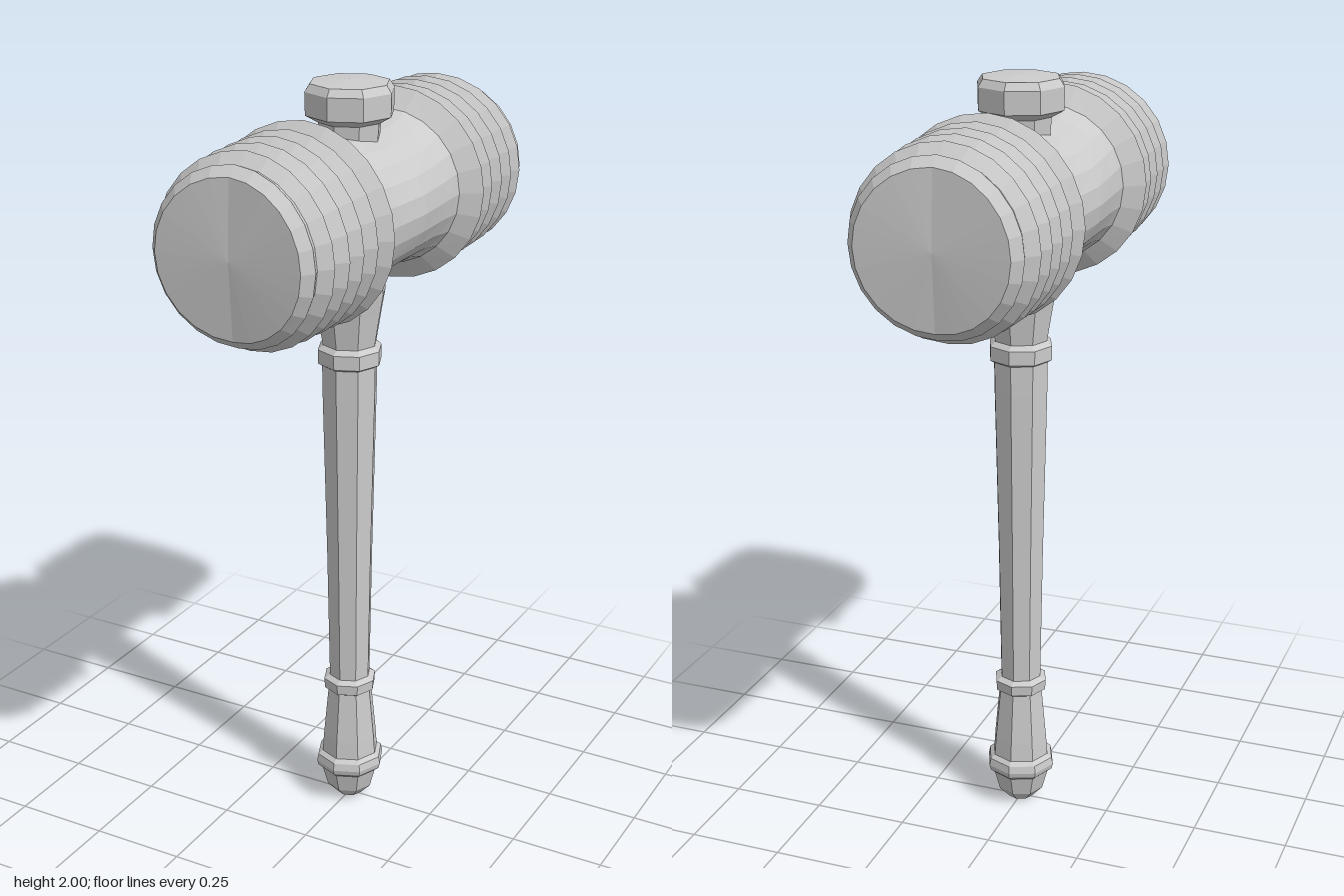
import * as THREE from 'three';

const HEAD_Y = 1.695;

function material() {
  return new THREE.MeshStandardMaterial({ color: 0xcccccc, flatShading: true });
}

// Turned part from [radius, height] pairs, listed bottom to top
function lathe(profile, sides) {
  return new THREE.LatheGeometry(profile.map(([r, y]) => new THREE.Vector2(r, y)), sides);
}

function add(group, name, geometry) {
  const mesh = new THREE.Mesh(geometry, material());
  mesh.name = name;
  group.add(mesh);
  return mesh;
}

// Barrel-shaped head with ridged ends, lying along z
function headGeometry() {
  const half = [[0.203, 0.13], [0.2, 0.205]];
  const ridges = [[0.25, 0.242], [0.242, 0.309], [0.24, 0.373], [0.238, 0.435], [0.234, 0.497]];
  for (const [r, z] of ridges) half.push([r, z], [0.207, z + 0.035]);
  half[half.length - 1] = [0.205, 0.525];
  half.push([0.213, 0.546], [0.19, 0.572], [0, 0.565]);
  const back = half.map(([r, z]) => [r, -z]).reverse();
  const geometry = lathe([...back, [0.21, 0], ...half], 24);
  geometry.rotateX(Math.PI / 2);

  // Pinch the waist above and below, and bend the ridges inward at top and bottom
  const p = geometry.attributes.position;
  for (let i = 0; i < p.count; i++) {
    const x = p.getX(i), y = p.getY(i), z = p.getZ(i);
    const r = Math.hypot(x, y);
    if (Math.abs(z) < 0.19) p.setY(i, y * (Math.abs(z) < 0.05 ? 0.83 : 0.9));
    else if (r > 0.01) p.setZ(i, z - Math.sign(z) * 0.019 * (1 - Math.abs(x) / r));
  }
  geometry.computeVertexNormals();
  return geometry;
}

export function createModel() {
  const model = new THREE.Group();
  model.name = 'mallet';

  add(model, 'head', headGeometry()).position.y = HEAD_Y;

  // Rounded end of the handle
  add(model, 'pommel', lathe([
    [0, 0.005], [0.035, 0.01], [0.063, 0.04], [0.078, 0.095],
    [0.09, 0.105], [0.094, 0.12], [0.09, 0.14], [0.078, 0.15],
  ], 8));

  add(model, 'grip', lathe([[0.078, 0.145], [0.074, 0.2], [0.06, 0.345]], 8));
  add(model, 'gripCollar', lathe([
    [0.058, 0.34], [0.07, 0.347], [0.072, 0.375], [0.056, 0.385],
  ], 8));

  add(model, 'shaft', lathe([[0.056, 0.38], [0.062, 0.75], [0.072, 1.2], [0.073, 1.285]], 8));
  add(model, 'neckCollar', lathe([
    [0.072, 1.278], [0.084, 1.285], [0.084, 1.322], [0.07, 1.335],
  ], 8));
  add(model, 'neck', lathe([[0.07, 1.33], [0.085, 1.42], [0.094, 1.47], [0.094, 1.56]], 8));

  // Eight-sided cap on top of the head
  add(model, 'topCap', lathe([
    [0.075, 1.84], [0.08, 1.9], [0.112, 1.918], [0.113, 1.975], [0.1, 1.994], [0, 2],
  ], 8));

  return model;
}
